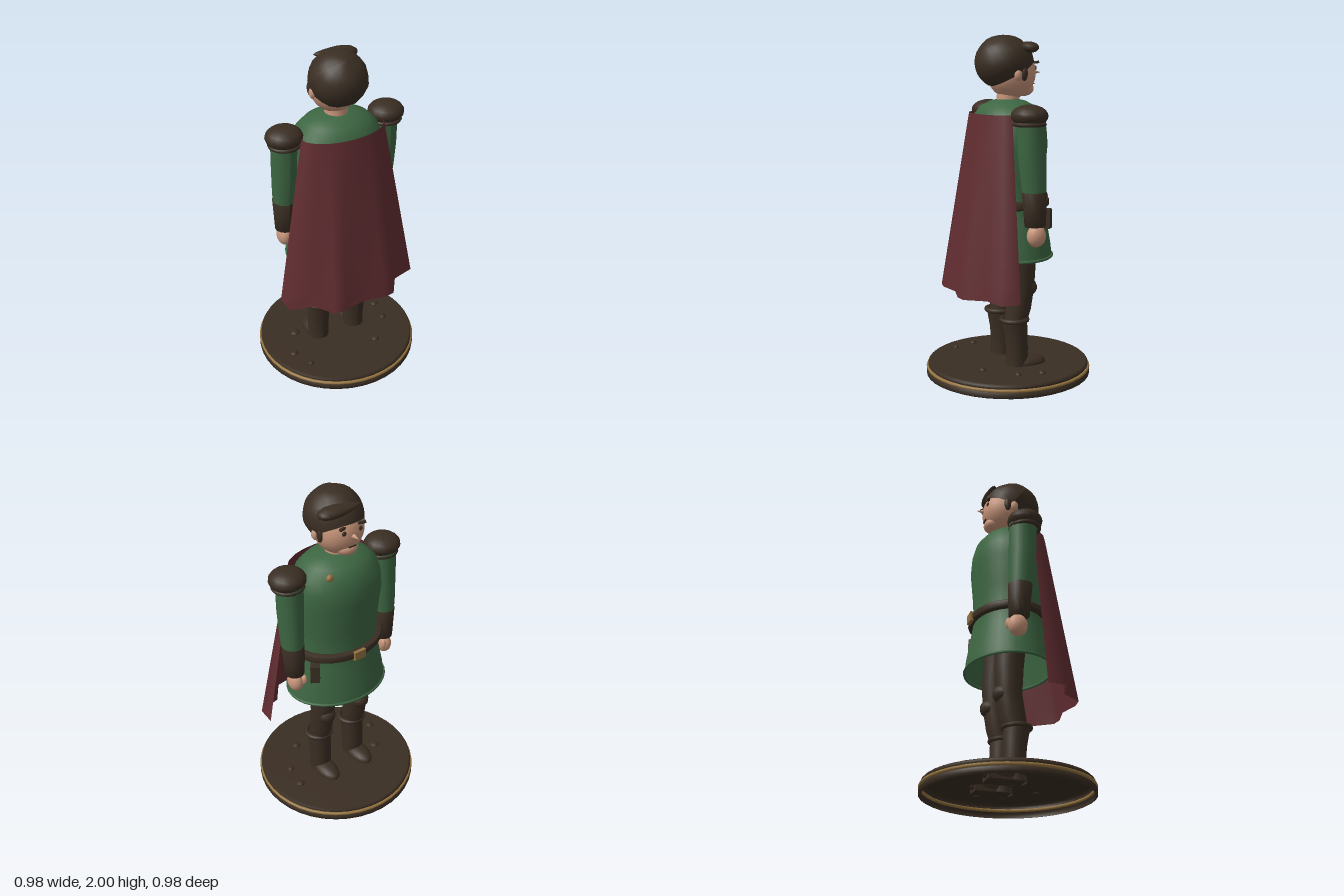
import * as THREE from 'three';

const mat = (name, color, side = THREE.FrontSide) => {
  const m = new THREE.MeshStandardMaterial({ color, side });
  m.name = name;
  return m;
};

export function createModel() {
  const group = new THREE.Group();
  const D = THREE.DoubleSide;
  const brown = mat('dark brown', 0x3a2e23, D);
  const green = mat('tunic green', 0x3d6642, D);
  const red = mat('cape red', 0x612d31, D);
  const skin = mat('skin', 0xc8957a);
  const gold = mat('gold', 0x94733f);

  const add = (name, geo, material, x = 0, y = 0, z = 0) => {
    const mesh = new THREE.Mesh(geo, material);
    mesh.name = name;
    mesh.position.set(x, y, z);
    group.add(mesh);
    return mesh;
  };
  const ball = (name, m, x, y, z, rx, ry, rz, seg = 16) =>
    add(name, new THREE.SphereGeometry(1, seg, Math.ceil(seg * 0.7)).scale(rx, ry, rz), m, x, y, z);
  const lathe = (pts, seg = 32) =>
    new THREE.LatheGeometry(pts.map(([r, y]) => new THREE.Vector2(r, y)), seg);
  // Elliptical cross-sections [y, x, z, rx, rz], listed from bottom to top
  const loft = (rows, side, seg = 14) => {
    const geo = lathe(rows.map((_, i) => [1, i]), seg);
    const p = geo.attributes.position;
    for (let i = 0; i < p.count; i++) {
      const [y, cx, cz, rx, rz] = rows[Math.round(p.getY(i))];
      p.setXYZ(i, side * cx + p.getX(i) * rx, y, cz + p.getZ(i) * rz);
    }
    geo.computeVertexNormals();
    return geo;
  };

  // Hollow round base with a gold band and pebbles
  add('base', lathe([[0.475, 0], [0.489, 0.007], [0.489, 0.03], [0.478, 0.04], [0.474, 0.055],
    [0.48, 0.062], [0.478, 0.074], [0.468, 0.083], [0, 0.083]], 40), brown);
  add('baseBand', new THREE.TorusGeometry(0.48, 0.01, 8, 40).rotateX(Math.PI / 2), gold, 0, 0.048);
  for (const [x, z, r] of [[-0.35, 0.1, 0.028], [-0.26, -0.07, 0.032], [0.33, -0.08, 0.028],
    [0.31, 0.06, 0.024], [0.16, 0.22, 0.027], [-0.3, 0.23, 0.02]])
    ball('pebble', brown, x, 0.084, z, r, 0.015, r * 0.85, 8);

  for (const s of [-1, 1]) {
    // Trousers, knee and boots
    add('leg', loft([[0.33, 0.125, 0.005, 0.062, 0.068], [0.42, 0.125, -0.015, 0.068, 0.076],
      [0.55, 0.125, -0.035, 0.07, 0.076], [0.7, 0.125, -0.035, 0.078, 0.085],
      [0.88, 0.115, -0.02, 0.085, 0.09]], s), brown);
    ball('knee', brown, s * 0.125, 0.545, -0.07, 0.058, 0.055, 0.06, 12);
    add('boot', loft([[0.05, 0.125, 0, 0.066, 0.065], [0.14, 0.125, -0.008, 0.066, 0.064],
      [0.25, 0.125, -0.002, 0.068, 0.068], [0.36, 0.125, 0.01, 0.073, 0.076]], s), brown);
    add('bootCuff', new THREE.TorusGeometry(0.076, 0.014, 8, 18).rotateX(Math.PI / 2), brown, s * 0.125, 0.357, 0.01);
    ball('bootFoot', brown, s * 0.128, 0.088, -0.065, 0.066, 0.048, 0.122);
    add('bootSole', new THREE.BoxGeometry(0.11, 0.03, 0.21), brown, s * 0.128, 0.063, -0.06);

    // Sleeve, bracer, hand and shoulder pad
    add('sleeve', loft([[1.12, 0.322, -0.03, 0.063, 0.068], [1.2, 0.322, -0.025, 0.068, 0.074],
      [1.35, 0.32, -0.015, 0.074, 0.081], [1.56, 0.318, -0.01, 0.076, 0.083]], s), green);
    add('bracer', loft([[0.94, 0.32, -0.037, 0.001, 0.001], [0.94, 0.32, -0.037, 0.056, 0.06],
      [1.03, 0.32, -0.035, 0.061, 0.065], [1.135, 0.322, -0.03, 0.067, 0.071],
      [1.135, 0.322, -0.03, 0.03, 0.03]], s), brown);
    ball('hand', skin, s * 0.32, 0.885, -0.045, 0.044, 0.064, 0.056);
    ball('thumb', skin, s * 0.287, 0.905, -0.088, 0.016, 0.033, 0.018, 10);
    ball('shoulderPad', brown, s * 0.322, 1.557, 0, 0.107, 0.063, 0.103);
    add('shoulderPadRim', new THREE.TorusGeometry(0.084, 0.012, 8, 18).rotateX(Math.PI / 2), brown, s * 0.32, 1.512, 0);
  }

  // Tunic, hem and belt share one oval cross-section
  const oval = geo => geo.scale(1, 1, 0.8);
  add('tunic', oval(lathe([[0.31, 0.73], [0.3, 0.8], [0.268, 0.95], [0.248, 1.05], [0.256, 1.2],
    [0.276, 1.38], [0.268, 1.47], [0.243, 1.545], [0.19, 1.597], [0.12, 1.627], [0.06, 1.637]])), green);
  add('tunicHem', oval(new THREE.TorusGeometry(0.31, 0.009, 8, 32).rotateX(Math.PI / 2)), green, 0, 0.735);
  add('belt', oval(lathe([[0.24, 1.022], [0.28, 1.024], [0.288, 1.033], [0.288, 1.06], [0.28, 1.069], [0.24, 1.071]])), brown);
  add('buckle', new THREE.BoxGeometry(0.075, 0.055, 0.02), gold, 0, 1.047, -0.23);
  const pouch = add('pouch', new THREE.BoxGeometry(0.07, 0.11, 0.055), brown, 0.24, 0.967, -0.132);
  pouch.rotation.y = 0.95;
  ball('clasp', gold, 0.14, 1.565, -0.138, 0.022, 0.022, 0.018, 12);

  // Cape: straight ruled sheet from a curved collar to a folded hem
  const half = [[0.42, 0.09], [0.415, 0.2], [0.28, 0.235], [0.2, 0.35], [0.13, 0.36]];
  const hem = [...half.map(([x, z]) => [-x, z]), [0, 0.33], ...half.slice().reverse()];
  const n = hem.length - 1, rows = 10, pos = [], idx = [];
  for (let j = 0; j <= rows; j++) {
    const t = j / rows;
    hem.forEach(([hx, hz], i) => {
      const a = (i / n - 0.5) * Math.PI;
      const tx = 0.255 * Math.sin(a), tz = 0.075 + 0.137 * Math.cos(a);
      pos.push(tx + (hx - tx) * t, 1.557 - 1.032 * t, tz + (hz - tz) * t);
      if (i < n && j < rows) {
        const k = j * (n + 1) + i;
        idx.push(k, k + n + 1, k + 1, k + 1, k + n + 1, k + n + 2);
      }
    });
  }
  const capeGeo = new THREE.BufferGeometry();
  capeGeo.setAttribute('position', new THREE.Float32BufferAttribute(pos, 3));
  capeGeo.setIndex(idx);
  capeGeo.computeVertexNormals();
  add('cape', capeGeo, red);

  // Neck, head and face
  add('neck', new THREE.CylinderGeometry(0.062, 0.068, 0.1, 16), skin, 0, 1.655, 0);
  ball('head', skin, 0, 1.785, -0.02, 0.142, 0.148, 0.142, 24);
  ball('chin', skin, 0, 1.695, -0.095, 0.065, 0.045, 0.06);
  add('nose', new THREE.ConeGeometry(0.021, 0.065, 10).rotateX(-Math.PI / 2), skin, 0, 1.787, -0.17);
  add('mouth', new THREE.BoxGeometry(0.05, 0.007, 0.008), brown, 0, 1.722, -0.15);
  for (const s of [-1, 1]) {
    ball('ear', skin, s * 0.143, 1.775, -0.005, 0.018, 0.033, 0.024, 10);
    ball('eye', brown, s * 0.052, 1.812, -0.147, 0.015, 0.014, 0.008, 10);
    const brow = add('eyebrow', new THREE.BoxGeometry(0.056, 0.013, 0.014), brown, s * 0.058, 1.843, -0.143);
    brow.rotation.set(0, s * 0.38, s * 0.12);
    ball('sideburn', brown, s * 0.137, 1.785, -0.045, 0.016, 0.045, 0.022, 8);
  }

  // Hair cap tilted back, gently lumpy
  const hair = new THREE.SphereGeometry(1, 20, 12, 0, Math.PI * 2, 0, 2.03).rotateX(0.56);
  const hp = hair.attributes.position;
  for (let i = 0; i < hp.count; i++) {
    const x = hp.getX(i), y = hp.getY(i), z = hp.getZ(i);
    const k = 1 + 0.025 * Math.sin(7 * x + 2) * Math.sin(6 * y) * Math.cos(6 * z);
    hp.setXYZ(i, x * k * 0.163, y * k * 0.157, z * k * 0.172);
  }
  hair.computeVertexNormals();
  add('hair', hair, brown, 0, 1.843, 0.022);

  // Swept quiff, thicker toward its left end
  const quiff = new THREE.SphereGeometry(1, 14, 10);
  const qp = quiff.attributes.position;
  for (let i = 0; i < qp.count; i++) {
    const x = qp.getX(i), w = 0.8 + 0.35 * x;
    qp.setXYZ(i, x * 0.13, qp.getY(i) * 0.037 * w, qp.getZ(i) * 0.06 * w);
  }
  quiff.computeVertexNormals();
  add('quiff', quiff, brown, 0.05, 1.932, -0.098).rotation.set(0, -0.12, -0.06);

  return group;
}
